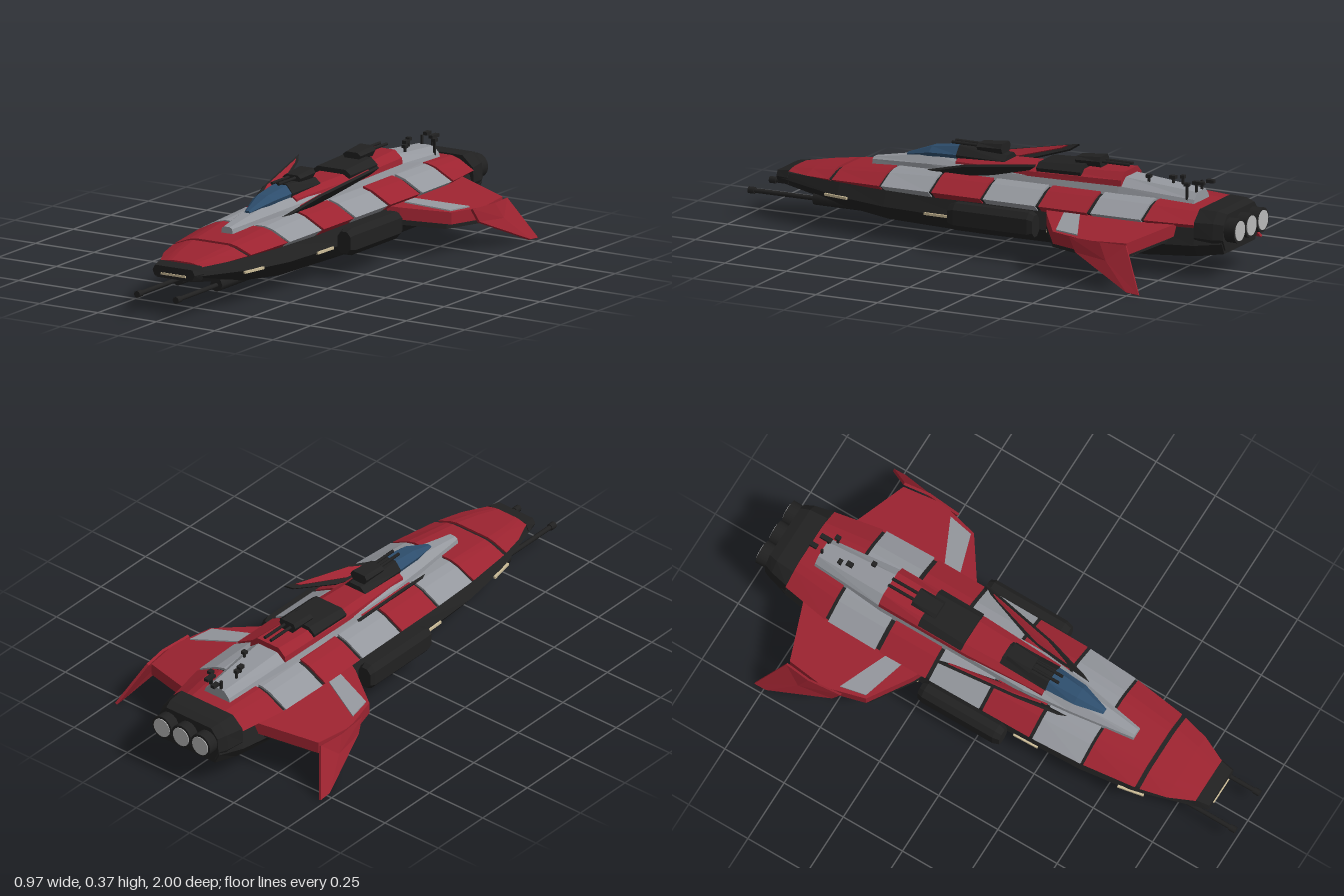
import * as THREE from 'three';

const mat = (name, color) => Object.assign(new THREE.MeshStandardMaterial({ color }), { name });

export function createModel() {
  const red = mat('red', 0x9c2330), grey = mat('grey', 0x94979d), dark = mat('charcoal', 0x212121);
  const blue = mat('canopyBlue', 0x2d4d6c), cream = mat('cream', 0xcdbd98), glow = mat('engineGlow', 0xb8b8b8);
  const model = new THREE.Group();
  model.name = 'spaceship';

  const add = (name, geometry, material, pos = [0, 0, 0]) => {
    const mesh = new THREE.Mesh(geometry, material);
    mesh.name = name;
    mesh.position.set(...pos);
    model.add(mesh);
    return mesh;
  };
  const box = (name, material, size, pos) => add(name, new THREE.BoxGeometry(...size), material, pos);
  const rod = (name, material, r, len, pos, sides = 8, r2 = r) =>
    add(name, new THREE.CylinderGeometry(r, r2, len, sides).rotateX(Math.PI / 2).toNonIndexed(), material, pos);

  // Joins closed rings of points into a capped, flat-shaded solid facing outwards
  const loft = (input) => {
    const rings = input.map((r) => r.map((p) => new THREE.Vector3(...p)));
    const centre = (r) => r.reduce((s, p) => s.add(p), new THREE.Vector3()).divideScalar(r.length);
    const normal = new THREE.Vector3();
    const n = rings[0].length;
    rings[0].forEach((p, i) => normal.add(p.clone().cross(rings[0][(i + 1) % n])));
    const last = rings[rings.length - 1];
    if (normal.dot(centre(last).sub(centre(rings[0]))) > 0) rings.forEach((r) => r.reverse());
    const tris = [];
    const c0 = centre(rings[0]), c1 = centre(last);
    for (let i = 0; i < n; i++) {
      const j = (i + 1) % n;
      tris.push(c0, rings[0][i], rings[0][j], c1, last[j], last[i]);
      for (let k = 0; k + 1 < rings.length; k++) {
        const a = rings[k], b = rings[k + 1];
        tris.push(a[i], b[i], a[j], a[j], b[i], b[j]);
      }
    }
    const g = new THREE.BufferGeometry().setFromPoints(tris);
    g.computeVertexNormals();
    return g;
  };
  // Full ring at z from its +x half, listed bottom to top
  const ring = (z, half) => [
    ...half.map(([x, y]) => [x, y, z]),
    ...half.slice().reverse().map(([x, y]) => [-x, y, z]),
  ];
  const body = (name, material, sections) => add(name, loft(sections.map(([z, ...h]) => ring(z, h))), material);
  const slab = (pts, [dx, dy, dz]) => loft([pts, pts.map(([x, y, z]) => [x + dx, y + dy, z + dz])]);
  const flip = (s, pts) => pts.map(([x, y, z]) => [s * x, y, z]);

  // Lower hull
  body('lowerHull', dark, [
    [0.88, [0.075, 0.14], [0.088, 0.16], [0.08, 0.18]],
    [0.6, [0.11, 0.092], [0.165, 0.14], [0.14, 0.19]],
    [0.4, [0.14, 0.074], [0.187, 0.13], [0.16, 0.19]],
    [0, [0.155, 0.068], [0.2, 0.125], [0.175, 0.19]],
    [-0.65, [0.155, 0.072], [0.2, 0.125], [0.175, 0.19]],
    [-0.85, [0.14, 0.085], [0.17, 0.13], [0.15, 0.19]],
    [-0.95, [0.12, 0.1], [0.14, 0.14], [0.13, 0.19]],
  ]);

  // Armour: z, half width, top height
  const knots = [[0.84, 0.088, 0.197], [0.74, 0.135, 0.213], [0.63, 0.163, 0.228], [0.41, 0.192, 0.25],
    [0.2, 0.203, 0.262], [-0.45, 0.207, 0.264], [-0.66, 0.203, 0.262], [-0.86, 0.167, 0.25]];
  const armourRing = (z, inset) => {
    let i = 0;
    while (i < knots.length - 2 && z < knots[i + 1][0]) i++;
    const [za, wa, ta] = knots[i], [zb, wb, tb] = knots[i + 1];
    const t = (z - za) / (zb - za);
    const w = wa + (wb - wa) * t - inset, top = ta + (tb - ta) * t - inset;
    const base = 0.182, h = top - base;
    return ring(z, [[w - 0.035, base], [w, base + 0.36 * h], [w * 0.63, base + 0.87 * h], [w * 0.45, top]]);
  };
  add('armourCore', loft(knots.map(([z]) => armourRing(z, 0.008))), dark);
  const panels = [[0.835, 0.64], [0.622, 0.42], [0.408, 0.212], [0.198, 0.002], [-0.012, -0.222],
    [-0.238, -0.432], [-0.45, -0.65], [-0.664, -0.85]];
  panels.forEach(([a, b], i) => {
    const zs = [a, ...knots.map((k) => k[0]).filter((z) => z < a && z > b), b];
    add('armourPanel' + (i + 1), loft(zs.map((z) => armourRing(z, 0))), [2, 4, 6].includes(i) ? grey : red);
  });

  // Nose lip and its light strip
  body('noseLip', dark, [
    [0.885, [0.08, 0.145], [0.09, 0.165], [0.08, 0.185]],
    [0.835, [0.09, 0.14], [0.1, 0.165], [0.088, 0.192]],
  ]);
  box('noseLight', cream, [0.105, 0.008, 0.006], [0, 0.157, 0.886]);

  // Stern block and three engines
  body('sternBlock', dark, [
    [-0.85, [0.13, 0.11], [0.168, 0.16], [0.165, 0.215], [0.12, 0.256]],
    [-0.92, [0.13, 0.11], [0.155, 0.155], [0.15, 0.215], [0.115, 0.254]],
    [-0.955, [0.12, 0.115], [0.14, 0.155], [0.135, 0.21], [0.105, 0.245]],
  ]);
  for (const x of [-0.09, 0, 0.09]) {
    rod('engineNozzle', dark, 0.044, 0.06, [x, 0.185, -0.967], 16, 0.046);
    rod('engineGlow', glow, 0.037, 0.006, [x, 0.185, -0.997], 16);
  }

  // Grey spine with a red deck on top
  body('spine', grey, [
    [0.53, [0.025, 0.235], [0.022, 0.255], [0.012, 0.262]],
    [0.28, [0.065, 0.245], [0.062, 0.275], [0.03, 0.305]],
    [0.1, [0.09, 0.25], [0.082, 0.285], [0.05, 0.305]],
    [-0.5, [0.09, 0.25], [0.08, 0.29], [0.045, 0.318]],
    [-0.795, [0.062, 0.245], [0.055, 0.268], [0.032, 0.292]],
  ]);
  body('spineDeck', red, [
    [0.17, [0.068, 0.28], [0.065, 0.298], [0.04, 0.312]],
    [-0.15, [0.083, 0.285], [0.08, 0.302], [0.05, 0.318]],
    [-0.51, [0.083, 0.29], [0.08, 0.312], [0.05, 0.338]],
  ]);

  // Canopy
  body('canopy', blue, [
    [0.395, [0.01, 0.283], [0.012, 0.288], [0.006, 0.293]],
    [0.29, [0.035, 0.293], [0.043, 0.312], [0.02, 0.331]],
    [0.17, [0.042, 0.297], [0.05, 0.318], [0.026, 0.346]],
  ]);
  body('canopyBack', dark, [
    [0.175, [0.045, 0.295], [0.053, 0.318], [0.028, 0.349]],
    [-0.02, [0.04, 0.295], [0.048, 0.315], [0.025, 0.335]],
  ]);

  // Turrets with twin barrels
  const turret = (name, z, dir) => {
    body(name, dark, [
      [z + 0.05, [0.025, 0.335], [0.038, 0.355], [0.024, 0.366]],
      [z - 0.05, [0.025, 0.335], [0.038, 0.358], [0.028, 0.374]],
    ]);
    for (const x of [-0.014, 0.014]) rod(name + 'Barrel', dark, 0.006, 0.12, [x, 0.355, z + dir * 0.1], 6);
  };
  turret('frontTurret', 0.05, 1);
  turret('rearTurret', -0.35, -1);
  body('rearTurretBase', dark, [
    [-0.165, [0.075, 0.3], [0.082, 0.318], [0.06, 0.336]],
    [-0.345, [0.075, 0.3], [0.082, 0.322], [0.055, 0.345]],
  ]);

  // Small aerials on the rear spine
  for (const [x, y, z, l] of [[0.035, 0.33, -0.6, 0.018], [-0.01, 0.325, -0.675, 0.025], [-0.02, 0.328, -0.71, 0.015],
    [0.055, 0.322, -0.765, 0.02], [0.03, 0.326, -0.8, 0.045], [-0.015, 0.326, -0.825, 0.03]]) {
    box('aerial', dark, [0.018, 0.012, l], [x, y, z]);
    box('aerialMast', dark, [0.008, 0.06, 0.008], [x, y - 0.03, Math.max(z, -0.79)]);
  }

  // Paired parts
  for (const s of [-1, 1]) {
    const side = s > 0 ? 'left' : 'right';

    // Raised swept blades, red on the inner face
    const blade = [[0.07, 0.25, 0.31], [0.12, 0.308, 0.1], [0.168, 0.356, -0.21],
      [0.152, 0.336, -0.18], [0.1, 0.284, 0], [0.078, 0.258, 0.15]];
    add(side + 'Blade', slab(flip(s, blade), [s * 0.007, -0.007, 0]), dark);
    const inner = [[0.09, 0.276, 0.18], [0.12, 0.306, 0.08], [0.158, 0.346, -0.17], [0.15, 0.336, -0.15], [0.1, 0.285, 0.05]];
    add(side + 'BladeInlay', slab(flip(s, inner), [-s * 0.004, 0.004, 0]), red);

    // Flank pod
    const pod = (z, k) => [[0.035, -0.05], [0.035, 0.05], [0.018, 0.05], [0.035, 0.025]].length && [
      [0.015, -0.05], [0.034, -0.028], [0.034, 0.028], [0.015, 0.05],
      [-0.015, 0.05], [-0.034, 0.028], [-0.034, -0.028], [-0.015, -0.05],
    ].map(([x, y]) => [s * (0.228 + x * k), 0.145 + y * k, z]);
    add(side + 'Pod', loft([pod(0.105, 0.8), pod(0.08, 1), pod(-0.22, 1), pod(-0.24, 0.8)]), dark);

    // Wing, its dark underplate and grey inlay
    const outline = [[0.16, -0.25], [0.22, -0.28], [0.372, -0.385], [0.412, -0.54], [0.392, -0.695], [0.16, -0.775]];
    const level = (pts, drop) => flip(s, pts.map(([x, z]) => [x, 0.198 - (x - 0.19) * 0.13 - drop, z]));
    add(side + 'Wing', loft([level(outline, 0), level(outline, 0.045)]), red);
    const under = outline.map(([x, z]) => [x * 0.96, z * 0.98]);
    add(side + 'WingUnderplate', loft([level(under, 0.045), level(under, 0.064)]), dark);
    const patch = [[0.2, -0.34], [0.362, -0.392], [0.382, -0.49], [0.2, -0.405]];
    add(side + 'WingInlay', loft([level(patch, -0.005), level(patch, 0.002)]), grey);

    // Drooping winglet
    const winglet = [[0.4, 0.17, -0.47], [0.412, 0.168, -0.6], [0.4, 0.165, -0.7],
      [0.474, 0.008, -0.79], [0.474, 0.012, -0.74], [0.41, 0.118, -0.5]];
    add(side + 'Winglet', slab(flip(s, winglet), [s * 0.009, 0.004, 0]), red);

    // Chin gun
    rod('gunHousing', dark, 0.026, 0.3, [s * 0.083, 0.1, 0.58], 8);
    rod('gunBarrel', dark, 0.009, 0.3, [s * 0.083, 0.098, 0.85], 8);
    rod('gunMuzzle', dark, 0.013, 0.025, [s * 0.083, 0.098, 0.9875], 8);

    // Flank light strips
    for (const [x, y, z, a] of [[0.164, 0.139, 0.605, 0.19], [0.195, 0.127, 0.18, 0.03], [0.2, 0.124, -0.32, 0]]) {
      box('flankLight', cream, [0.009, 0.009, 0.1], [s * x, y, z]).rotation.y = -s * a;
    }
  }
  return model;
}
